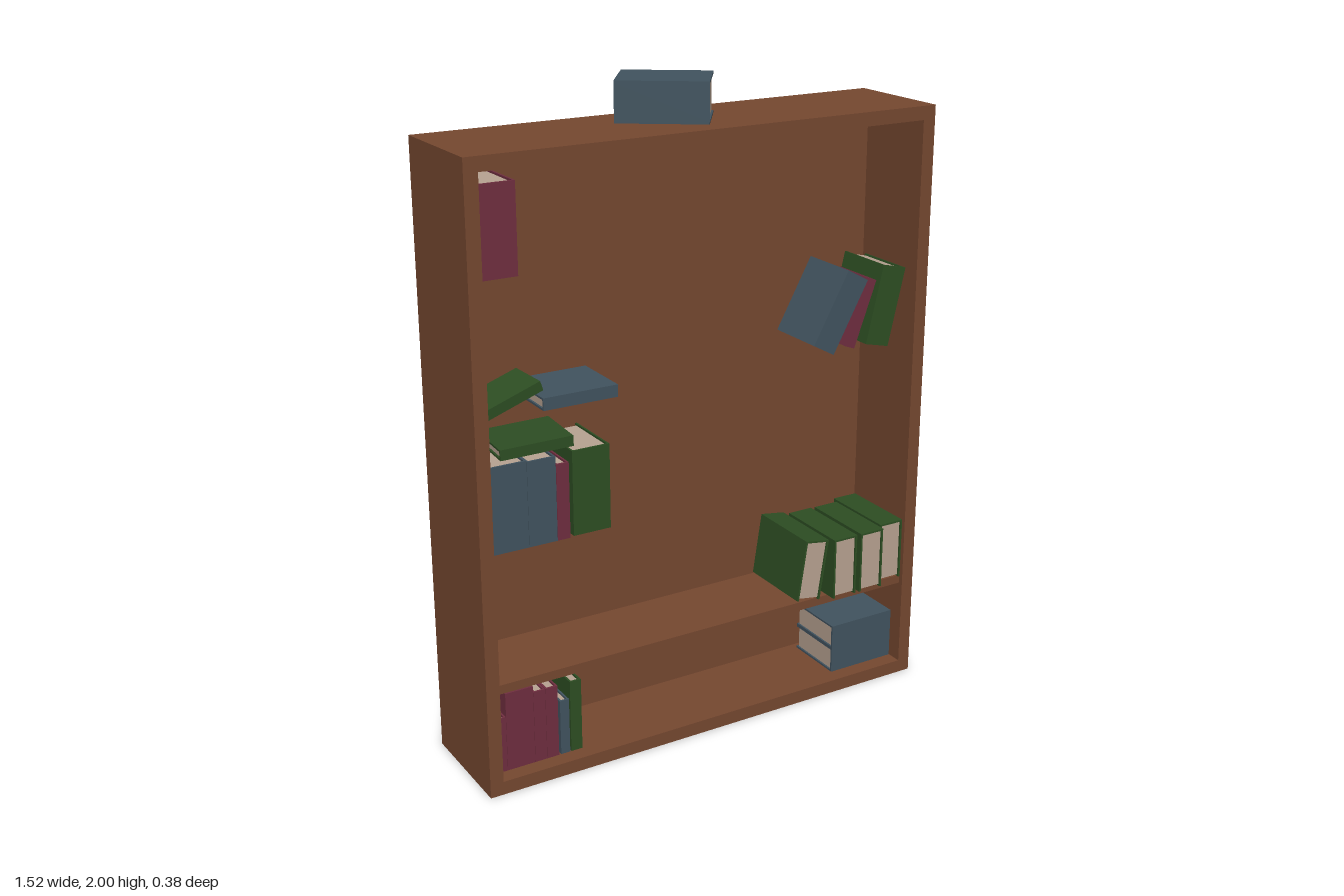
import * as THREE from 'three';

const mat = (name, color) => {
  const m = new THREE.MeshStandardMaterial({ color });
  m.name = name;
  return m;
};

export function createModel() {
  const root = new THREE.Group();
  root.name = 'bookcase';
  const wood = mat('brown wood', 0x764830);
  const pages = mat('page cream', 0xb8a392);
  const blue = mat('slate blue cover', 0x41535f);
  const red = mat('wine red cover', 0x702e40);
  const green = mat('dark green cover', 0x2d4e23);

  const box = (parent, name, material, w, h, d, x, y, z) => {
    const m = new THREE.Mesh(new THREE.BoxGeometry(w, h, d), material);
    m.name = name;
    m.position.set(x, y, z);
    parent.add(m);
    return m;
  };

  // Carcass: sides, top and bottom, recessed back panel, one shelf
  const carcass = new THREE.Group();
  carcass.name = 'carcass';
  root.add(carcass);
  const W = 1.52, H = 1.875, T = 0.042, Z0 = -0.19, Z1 = 0.165;
  const D = Z1 - Z0, zc = (Z0 + Z1) / 2;
  for (const s of [-1, 1]) {
    box(carcass, s > 0 ? 'leftSide' : 'rightSide', wood, T, H, D, s * (W - T) / 2, H / 2, zc);
  }
  box(carcass, 'topBoard', wood, W - 2 * T, T, D, 0, H - T / 2, zc);
  box(carcass, 'bottomBoard', wood, W - 2 * T, T, D, 0, T / 2, zc);
  box(carcass, 'backPanel', wood, W - 2 * T, H - 2 * T, 0.07, 0, H / 2, -0.142);
  box(carcass, 'shelf', wood, W - 2 * T, 0.028, 0.257, 0, 0.334, 0.0215);

  // A book: two boards, a spine and an inset page block.
  // Sizes are thickness, height and depth; base pose: spine towards +z.
  const poses = {
    upright: [0, 0, 0],
    flat: [0, 0, -Math.PI / 2],
    spineUp: [-Math.PI / 2, 0, 0],
  };
  const C = 0.006, INSET = 0.006;
  function book(name, cover, pose, [t, h, d], [x, y, z], tilt = 0, yaw = 0) {
    const outer = new THREE.Group();
    outer.name = name;
    outer.position.set(x, y, z);
    outer.rotation.set(0, yaw, tilt, 'YXZ');
    const inner = new THREE.Group();
    inner.name = name + 'Body';
    inner.rotation.set(...poses[pose]);
    outer.add(inner);
    for (const s of [-1, 1]) box(inner, 'coverBoard', cover, C, h, d, s * (t - C) / 2, 0, 0);
    box(inner, 'spine', cover, t - 2 * C, h, C, 0, 0, (d - C) / 2);
    box(inner, 'pageBlock', pages, t - 2 * C, h - 2 * INSET, d - C - INSET, 0, 0, (INSET - C) / 2);
    root.add(outer);
  }

  // Upright books: cover, x from, x to, y from, y to
  const standing = [
    [red, -0.717, -0.592, 1.53, 1.79],
    [blue, -0.71, -0.587, 0.737, 1.0],
    [blue, -0.586, -0.497, 0.737, 0.996],
    [red, -0.496, -0.456, 0.737, 0.97],
    [green, -0.445, -0.325, 0.74, 1.0],
    [red, -0.716, -0.681, T, 0.22],
    [red, -0.68, -0.591, T, 0.295],
    [red, -0.59, -0.552, T, 0.275],
    [red, -0.551, -0.512, T, 0.275],
    [blue, -0.505, -0.475, T, 0.22],
    [green, -0.471, -0.434, T, 0.275],
  ];
  standing.forEach(([c, x0, x1, y0, y1]) =>
    book('standingBook', c, 'upright', [x1 - x0, y1 - y0, 0.2], [(x0 + x1) / 2, (y0 + y1) / 2, 0.015]));

  // Leaning books
  book('leaningBook', blue, 'upright', [0.083, 0.25, 0.2], [0.478, 1.263, 0.012], -0.5);
  book('leaningBook', red, 'upright', [0.035, 0.22, 0.18], [0.56, 1.247, 0.012], -0.35);
  book('leaningBook', green, 'upright', [0.086, 0.25, 0.2], [0.646, 1.26, 0.012], -0.23);

  // Books lying flat
  book('lyingBook', green, 'flat', [0.03, 0.19, 0.14], [-0.605, 1.165, 0.005], 0.31, 0.05);
  book('lyingBook', blue, 'flat', [0.037, 0.235, 0.197], [-0.412, 1.154, 0.016]);
  book('lyingBook', green, 'flat', [0.032, 0.222, 0.18], [-0.535, 1.02, 0.0], 0.03, -0.06);
  book('lyingBook', blue, 'flat', [0.084, 0.235, 0.2], [0.599, 0.084, 0.015]);
  book('lyingBook', blue, 'flat', [0.08, 0.235, 0.2], [0.599, 0.166, 0.015]);
  book('topBook', blue, 'flat', [0.118, 0.265, 0.2], [-0.056, 1.941, -0.027], 0, -0.607);

  // Row with the spines up and the page ends to the front
  [[0.472, 0.185], [0.572, 0.187], [0.668, 0.16]].forEach(([x, front]) =>
    book('spineUpBook', green, 'spineUp', [0.086, 0.255, 0.2], [x, 0.449, front - 0.1275]));
  book('spineUpBook', green, 'spineUp', [0.086, 0.255, 0.2], [0.368, 0.45, 0.03], -0.15);

  return root;
}
